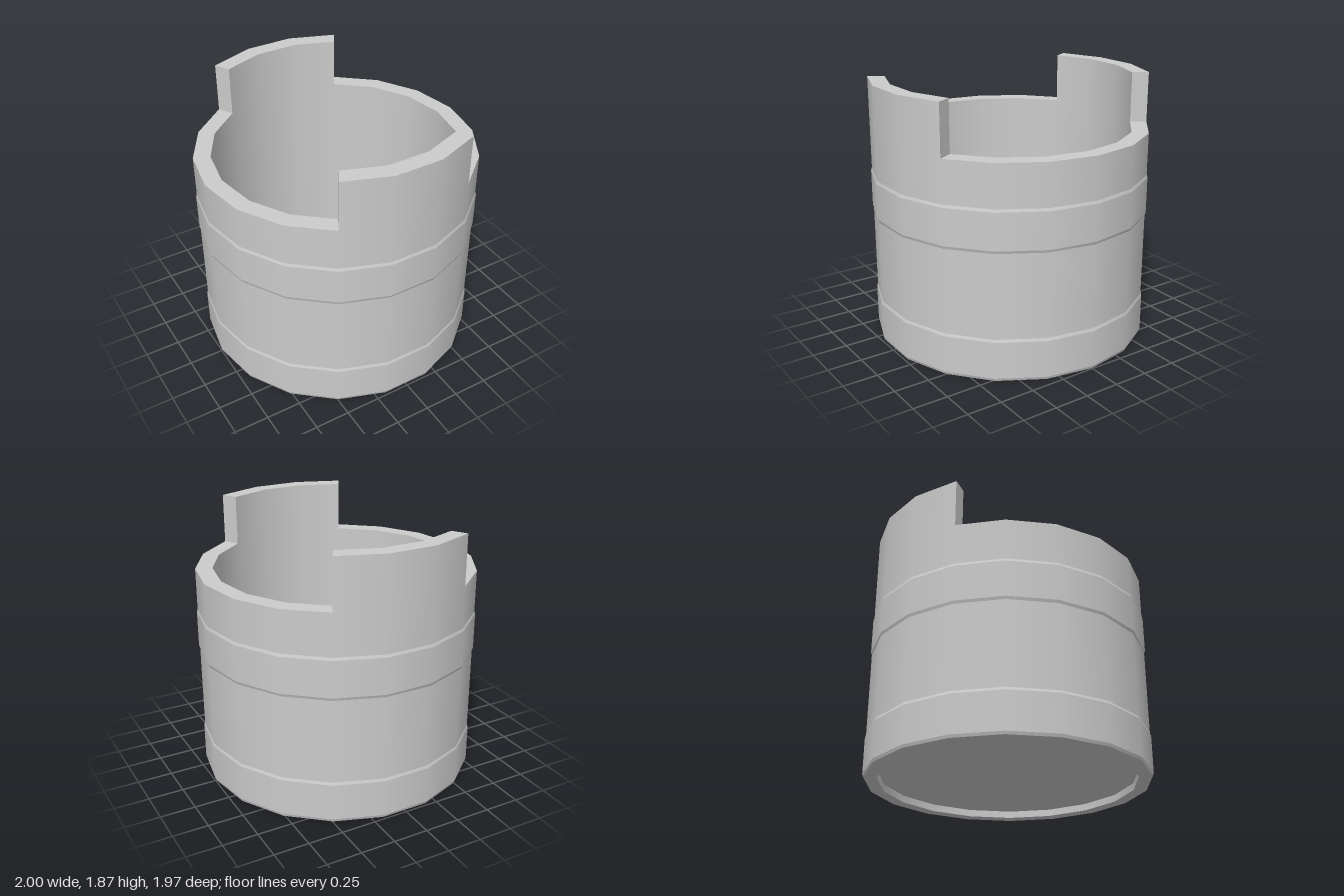
import * as THREE from 'three';
import { mergeGeometries } from 'three/addons/utils/BufferGeometryUtils.js';

const SIDES = 18;
const STEP = (Math.PI * 2) / SIDES;
const BODY = 0.993, BAND = 1.0, INNER = 0.873;
const RIM = 1.51, TOP = 1.87;
const TAB_HALF = Math.PI / 6;

const material = new THREE.MeshStandardMaterial({ color: 0xcccccc });

// Revolves each profile segment on its own: smooth around, sharp along the profile.
function revolve(profile, start = Math.PI / 2, steps = SIDES) {
  const pts = profile.map(([r, y]) => new THREE.Vector2(r, y));
  const parts = [];
  for (let i = 0; i + 1 < pts.length; i++) {
    parts.push(new THREE.LatheGeometry([pts[i], pts[i + 1]], steps, start, steps * STEP));
  }
  return mergeGeometries(parts);
}

function addMesh(parent, name, geometry) {
  const mesh = new THREE.Mesh(geometry, material);
  mesh.name = name;
  parent.add(mesh);
  return mesh;
}

// Raised tab on the rim, spanning three facets around the given angle
function makeTab(name, angle) {
  const tab = new THREE.Group();
  tab.name = name;
  const start = angle - TAB_HALF;
  addMesh(tab, name + 'Wall', revolve([[BODY, RIM], [BODY, TOP], [INNER, TOP], [INNER, RIM]], start, 3));
  for (const side of [-1, 1]) {
    const phi = angle + side * TAB_HALF;
    const mid = (BODY + INNER) / 2;
    const end = addMesh(tab, name + 'End', new THREE.PlaneGeometry(BODY - INNER, TOP - RIM));
    end.position.set(Math.sin(phi) * mid, (RIM + TOP) / 2, Math.cos(phi) * mid);
    end.rotation.y = phi - Math.PI / 2 + (side > 0 ? Math.PI : 0);
  }
  return tab;
}

export function createModel() {
  const group = new THREE.Group();
  group.name = 'cup';

  // Recessed underside and foot ring
  addMesh(group, 'base', revolve([[0, 0.05], [0.9, 0.05], [0.9, 0], [BODY, 0]]));

  // Outer wall with two slightly raised, chamfered bands
  addMesh(group, 'outerWall', revolve([
    [BODY, 0], [BAND, 0.02], [BAND, 0.285], [BODY, 0.305],
    [BODY, 0.91], [BAND, 0.93], [BAND, 1.19], [BODY, 1.21], [BODY, RIM],
  ]));

  // Inner wall and floor
  addMesh(group, 'interior', revolve([[INNER, RIM], [INNER, 0.1], [0, 0.1]]));

  // Rim arcs between the tabs
  for (const [name, start] of [['leftRim', TAB_HALF], ['rightRim', Math.PI + TAB_HALF]]) {
    addMesh(group, name, revolve([[BODY, RIM], [INNER, RIM]], start, 6));
  }

  group.add(makeTab('frontTab', 0), makeTab('backTab', Math.PI));
  return group;
}
